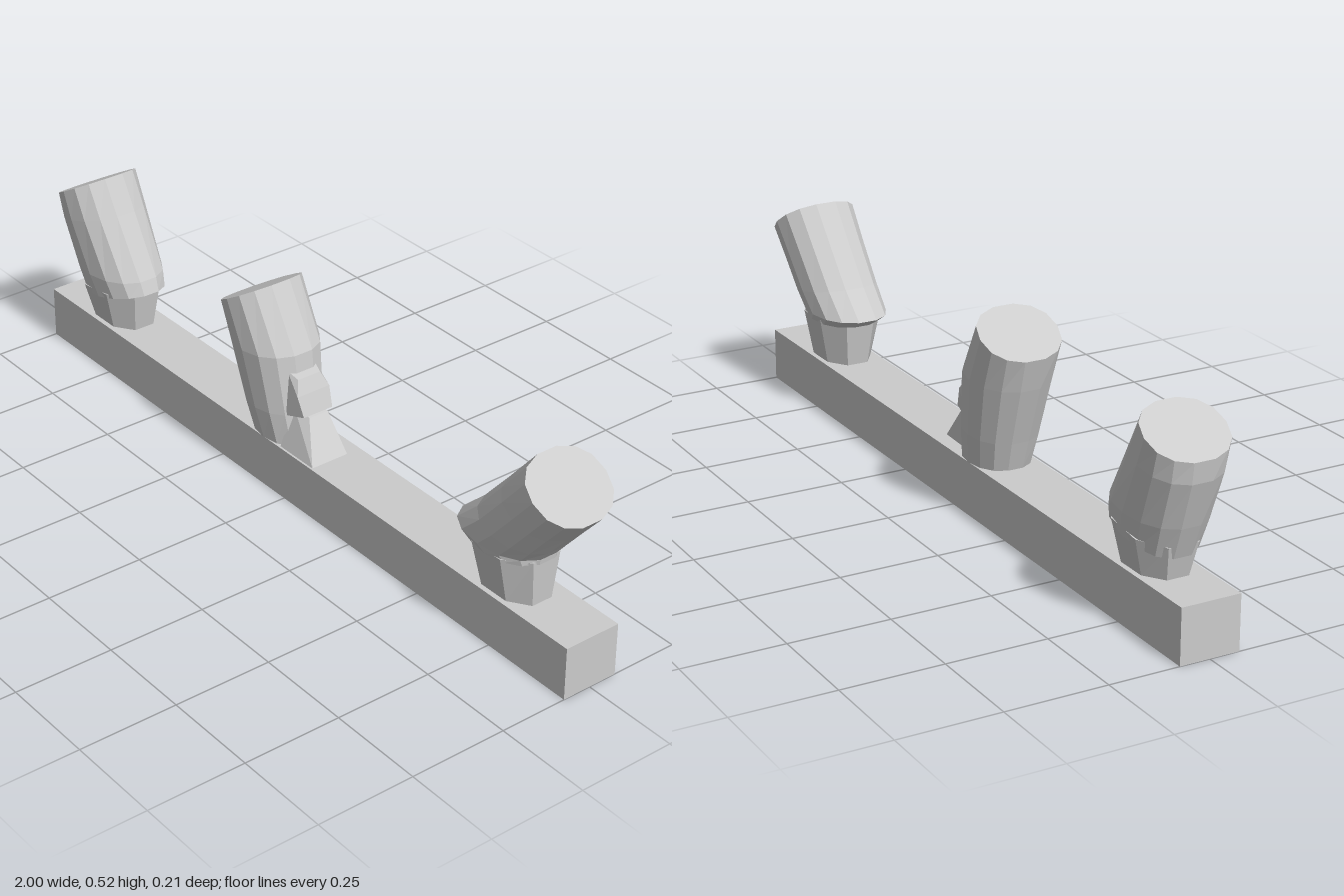
import * as THREE from 'three';
import { ConvexGeometry } from 'three/addons/geometries/ConvexGeometry.js';

const grey = new THREE.MeshStandardMaterial({ color: 0xcccccc, flatShading: true });

function part(name, geometry) {
  const mesh = new THREE.Mesh(geometry, grey);
  mesh.name = name;
  return mesh;
}

// Closed loft, top to bottom; each section is [leftX, leftY, rightX, rightY, halfDepth]
function loft(sections, sides, power = 0.9) {
  const rings = sections.map(([xa, ya, xb, yb, hz]) => {
    const ring = [];
    for (let i = 0; i < sides; i++) {
      const t = ((i + 0.5) / sides) * Math.PI * 2;
      const soften = (v) => Math.sign(v) * Math.pow(Math.abs(v), power);
      // scale so the outermost corners reach the section's full size
      const k = 1 / Math.pow(Math.cos(Math.PI / sides), power);
      const c = soften(Math.cos(t)) * k, s = soften(Math.sin(t)) * k;
      ring.push([(xa + xb) / 2 + c * (xb - xa) / 2, (ya + yb) / 2 + c * (yb - ya) / 2, s * hz]);
    }
    return ring;
  });
  const pos = [];
  const tri = (...corners) => corners.forEach((p) => pos.push(...p));
  const centre = ([xa, ya, xb, yb]) => [(xa + xb) / 2, (ya + yb) / 2, 0];
  const first = rings[0], last = rings[rings.length - 1];
  for (let i = 0; i < sides; i++) {
    const j = (i + 1) % sides;
    for (let r = 0; r < rings.length - 1; r++) {
      const a = rings[r], b = rings[r + 1];
      tri(a[i], a[j], b[j]);
      tri(a[i], b[j], b[i]);
    }
    tri(centre(sections[0]), first[j], first[i]);
    tri(centre(sections[sections.length - 1]), last[i], last[j]);
  }
  const g = new THREE.BufferGeometry();
  g.setAttribute('position', new THREE.Float32BufferAttribute(pos, 3));
  g.computeVertexNormals();
  return g;
}

const hull = (points) => new ConvexGeometry(points.map((p) => new THREE.Vector3(...p)));

export function createModel() {
  const model = new THREE.Group();
  model.name = 'spotlightRail';

  // Mounting rail
  const rail = part('rail', new THREE.BoxGeometry(2, 0.136, 0.15));
  rail.position.y = 0.068;
  model.add(rail);

  // Outer lamp on the -x end, leaning outwards
  const rightLamp = new THREE.Group();
  rightLamp.name = 'rightLamp';
  rightLamp.add(
    part('lampHead', loft([
      [-0.96, 0.437, -0.805, 0.523, 0.1],
      [-0.953, 0.385, -0.755, 0.435, 0.099],
      [-0.915, 0.27, -0.665, 0.285, 0.092],
      [-0.885, 0.19, -0.652, 0.25, 0.083],
    ], 14)),
    part('lampNeck', loft([
      [-0.89, 0.22, -0.672, 0.25, 0.085],
      [-0.87, 0.135, -0.69, 0.135, 0.062],
    ], 8)),
  );

  // Middle lamp, one straight barrel
  const middleLamp = new THREE.Group();
  middleLamp.name = 'middleLamp';
  middleLamp.add(
    part('lampHead', loft([
      [-0.26, 0.435, -0.108, 0.523, 0.1],
      [-0.238, 0.355, -0.02, 0.37, 0.098],
      [-0.192, 0.21, 0, 0.22, 0.086],
      [-0.17, 0.135, 0.012, 0.135, 0.074],
    ], 14)),
    // Knuckle and wedge foot of the bracket
    part('bracketKnuckle', hull([
      [-0.03, 0.33, -0.04], [-0.03, 0.33, 0.04], [0.005, 0.32, -0.03], [0.005, 0.32, 0.035],
      [0.022, 0.285, -0.045], [0.022, 0.285, 0.05], [0.04, 0.235, -0.04], [0.04, 0.235, 0.045],
      [-0.03, 0.215, -0.05], [-0.03, 0.215, 0.055],
    ])),
    part('bracketFoot', hull([
      [-0.02, 0.135, -0.04], [-0.02, 0.135, 0.07], [0.105, 0.135, -0.035], [0.105, 0.135, 0.07],
      [-0.02, 0.24, -0.03], [-0.02, 0.24, 0.03], [0.035, 0.225, -0.03], [0.035, 0.225, 0.025],
    ])),
  );

  // Outer lamp on the +x end, leaning outwards more steeply
  const leftLamp = new THREE.Group();
  leftLamp.name = 'leftLamp';
  leftLamp.add(
    part('lampHead', loft([
      [0.826, 0.525, 0.978, 0.417, 0.103],
      [0.746, 0.43, 0.925, 0.355, 0.099],
      [0.665, 0.337, 0.875, 0.295, 0.096],
      [0.592, 0.27, 0.85, 0.264, 0.092],
      [0.63, 0.246, 0.848, 0.25, 0.086],
    ], 14)),
    part('lampNeck', loft([
      [0.636, 0.255, 0.845, 0.258, 0.086],
      [0.655, 0.135, 0.837, 0.135, 0.062],
    ], 8)),
  );

  model.add(rightLamp, middleLamp, leftLamp);
  return model;
}
